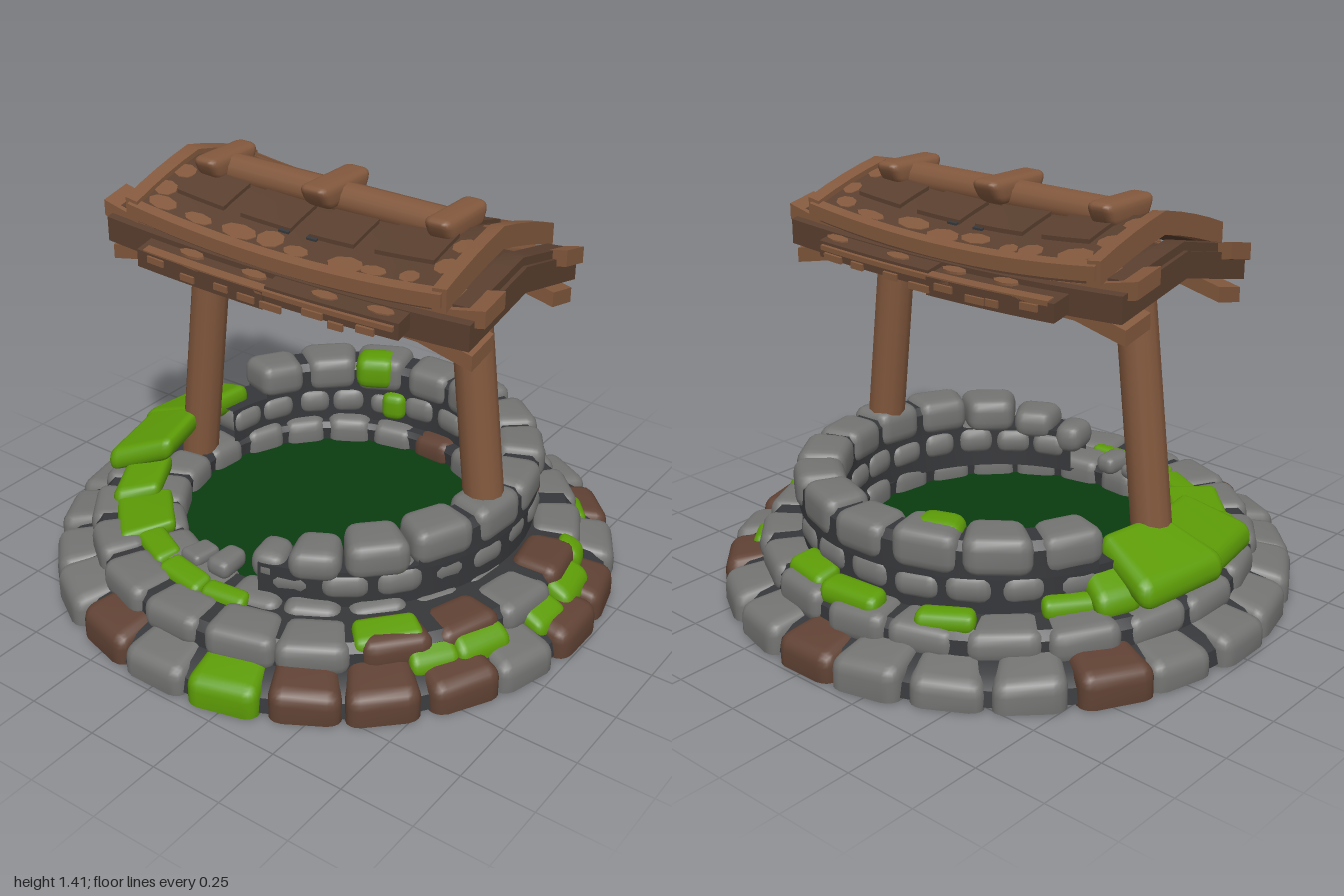
import * as THREE from 'three';
import { mergeVertices, toCreasedNormals } from 'three/addons/utils/BufferGeometryUtils.js';
import { RoundedBoxGeometry } from 'three/addons/geometries/RoundedBoxGeometry.js';

export function createModel() {
  const model = new THREE.Group();
  model.name = 'well';
  const paint = (name, color, side = THREE.FrontSide) => {
    const m = new THREE.MeshStandardMaterial({ color, side });
    m.name = name;
    return m;
  };
  const stone = paint('grey stone', 0x747473);
  const brown = paint('brown stone', 0x604234);
  const mortar = paint('dark mortar', 0x36373a, THREE.DoubleSide);
  const moss = paint('moss', 0x5d9c07);
  const water = paint('murky water', 0x0a3c10, THREE.DoubleSide);
  const wood = paint('light wood', 0x82583d);
  const darkWood = paint('dark wood', 0x593f2f);

  let seed = 7;
  const rnd = () => (seed = (seed * 16807) % 2147483647) / 2147483647;
  const jit = (s) => (rnd() - 0.5) * 2 * s;
  const rad = THREE.MathUtils.degToRad;

  function add(name, geo, mat, parent = model) {
    const mesh = new THREE.Mesh(geo, mat);
    mesh.name = name;
    parent.add(mesh);
    return mesh;
  }
  // Move every vertex by a rule
  function warp(geo, rule) {
    const p = geo.attributes.position, v = new THREE.Vector3();
    for (let i = 0; i < p.count; i++) {
      rule(v.fromBufferAttribute(p, i));
      p.setXYZ(i, v.x, v.y, v.z);
    }
    geo.computeVertexNormals();
    return geo;
  }
  function roundBox(w, h, d, r) {
    const g = new RoundedBoxGeometry(w, h, d, 2, r);
    g.deleteAttribute('normal');
    g.deleteAttribute('uv');
    g.clearGroups();
    return mergeVertices(g, 1e-4);
  }
  // Rounded block bent around the well; angle 0 is the front, 90 is +x
  function block(name, mat, parent, a, span, r0, r1, y0, y1, oz = 0, tilt = 0) {
    const rm = (r0 + r1) / 2, h = y1 - y0, d = r1 - r0, w = rad(span) * rm;
    const twist = jit(0.1), lean = jit(0.06);
    const g = roundBox(w, h, d, Math.min(0.045, h * 0.42, w * 0.4, d * 0.4));
    warp(g, (v) => {
      const t = rad(a) + v.x / rm + twist * v.z, r = rm + v.z;
      const y = Math.max(0.01, (y0 + y1) / 2 + v.y + lean * v.x - tilt * v.z);
      v.set(Math.sin(t) * r, y, Math.cos(t) * r + oz);
    });
    add(name, g, mat, parent);
  }
  function course(name, n, start, end, r0, r1, y0, y1, oz = 0, browns = [], mossy = []) {
    const group = new THREE.Group();
    group.name = name;
    model.add(group);
    const step = (end - start) / n;
    for (let i = 0; i < n; i++) {
      const mat = browns.includes(i) ? brown : mossy.includes(i) ? moss : stone;
      block(name + 'Stone', mat, group, start + step * (i + 0.5) + jit(step * 0.04), step * (0.95 + jit(0.04)),
        r0, r1 + jit(0.008), y0, y1 + jit(0.01), oz, name === 'baseCourse' ? 0.15 : 0);
    }
  }

  // Stone courses; the upper two are broken open at the front left
  course('baseCourse', 24, -7.5, 352.5, 0.79, 0.992, -0.05, 0.125, 0, [2, 3, 4, 6, 7, 9, 12, 16, 23], [1]);
  course('stepCourse', 21, 6, 366, 0.69, 0.865, 0.09, 0.21, 0, [2, 3, 5]);
  course('innerCourse', 20, 3, 363, 0.53, 0.69, 0.09, 0.215, 0, [9]);
  course('lowerRimCourse', 17, 14, 265, 0.53, 0.69, 0.225, 0.325, -0.05, [7]);
  course('topCourse', 10, 54, 250, 0.53, 0.705, 0.325, 0.46, -0.05);
  // Sagging blocks at the broken end
  block('saggingStone', stone, model, 45, 18, 0.53, 0.71, 0.31, 0.44, -0.05);
  block('saggingStone', stone, model, 28, 15, 0.53, 0.7, 0.29, 0.4, -0.05);
  block('saggingStone', stone, model, 14, 11, 0.53, 0.68, 0.25, 0.36, -0.05);
  block('looseStone', stone, model, -3, 9, 0.5, 0.63, 0.2, 0.27);
  block('looseStone', stone, model, -14, 9, 0.53, 0.64, 0.2, 0.25);

  // Mortar cores showing between the stones
  const lathe = (pts, a = 0, span = 360) => toCreasedNormals(new THREE.LatheGeometry(
    pts.map(([x, y]) => new THREE.Vector2(x, y)), 48, rad(a), rad(span)), 0.6);
  add('baseMortar', lathe([[0.56, 0.02], [0.965, 0.02], [0.955, 0.07], [0.91, 0.1], [0.85, 0.115],
    [0.845, 0.17], [0.82, 0.197], [0.56, 0.2], [0.545, 0.18], [0.56, 0.02]]), mortar);
  add('rimMortar', lathe([[0.545, 0.18], [0.68, 0.18], [0.68, 0.33], [0.55, 0.33], [0.545, 0.18]], 12, 253), mortar)
    .position.z = -0.05;
  add('topMortar', lathe([[0.55, 0.32], [0.69, 0.32], [0.685, 0.41], [0.66, 0.435], [0.57, 0.435],
    [0.55, 0.41], [0.55, 0.32]], 56, 192), mortar).position.z = -0.05;
  add('underside', new THREE.RingGeometry(0.55, 0.94, 48).rotateX(Math.PI / 2).translate(0, 0.004, 0), stone);
  add('waterSurface', new THREE.CircleGeometry(0.57, 48).rotateX(-Math.PI / 2).translate(0, 0.13, 0), water);

  // Moss pads: angle, span, inner and outer radius, bottom, top, tilt
  const mossGroup = new THREE.Group();
  mossGroup.name = 'moss';
  model.add(mossGroup);
  [
    [-78, 26, 0.6, 0.85, 0.25, 0.34, 0.35], [-98, 26, 0.6, 0.86, 0.25, 0.35, 0.35],
    [-113, 12, 0.66, 0.8, 0.2, 0.29, 0.4], [-62, 20, 0.62, 0.79, 0.18, 0.26, 0.2],
    [-45, 24, 0.58, 0.78, 0.17, 0.23, 0.1], [-27, 16, 0.62, 0.72, 0.17, 0.23, 0.1],
    [-10, 16, 0.64, 0.73, 0.17, 0.23, 0.15], [5, 14, 0.65, 0.72, 0.17, 0.23, 0.15],
    [-123, 16, 0.69, 0.76, 0.18, 0.25, 0.2], [183, 17, 0.74, 0.84, 0.17, 0.25, 0.1],
    [167, 14, 0.72, 0.83, 0.18, 0.25, 0.2], [207, 14, 0.75, 0.83, 0.17, 0.24, 0.1],
    [48, 16, 0.73, 0.84, 0.16, 0.22, 0.2], [57, 11, 0.79, 0.9, 0.1, 0.17, 0.5],
    [68, 13, 0.83, 0.91, 0.08, 0.17, 0.5], [98, 13, 0.82, 0.93, 0.08, 0.17, 0.4],
    [86, 10, 0.83, 0.93, 0.08, 0.15, 0.4], [107, 7, 0.8, 0.89, 0.12, 0.21, 0.4],
    [130, 9, 0.8, 0.9, 0.09, 0.15, 0.3],
  ].forEach(([a, s, r0, r1, y0, y1, t]) => block('mossPad', moss, mossGroup, a, s, r0, r1, y0, y1, 0, t));
  block('mossOnRim', moss, mossGroup, 203, 16, 0.515, 0.65, 0.34, 0.472, -0.05);
  block('mossOnInnerWall', moss, mossGroup, 195, 10, 0.515, 0.6, 0.22, 0.33, -0.05);

  // Leaning posts and the bowed cross beam
  for (const [s, foot] of [[-1, 0.18], [1, 0.38]]) {
    const from = new THREE.Vector3(s * (0.654 - 0.12 * foot), foot, 0), to = new THREE.Vector3(s * 0.51, 1.2, 0);
    const post = add('post', new THREE.CylinderGeometry(0.066, 0.068, from.distanceTo(to), 12), wood);
    post.position.copy(from).lerp(to, 0.5);
    post.quaternion.setFromUnitVectors(new THREE.Vector3(0, 1, 0), to.clone().sub(from).normalize());
  }
  const beamPath = new THREE.CatmullRomCurve3([[-0.54, 1.045], [-0.33, 1.05], [-0.28, 1.045], [-0.03, 0.992],
    [0.03, 0.992], [0.28, 1.045], [0.33, 1.05], [0.54, 1.045]].map(([x, y]) => new THREE.Vector3(x, y, 0)));
  add('crossBeam', new THREE.TubeGeometry(beamPath, 32, 0.045, 10), wood);

  // Roof: boards bent over two sagging slope surfaces
  const roof = new THREE.Group();
  roof.name = 'roof';
  model.add(roof);
  const upper = (x, z) => 1.305 - 0.2 * Math.abs(z) - 0.3 * z * z + 0.11 * x * x;
  const lower = (x, z) => 1.215 - 0.22 * Math.abs(z) + 0.05 * x * x;
  function board(name, mat, w, h, d, cx, cz, surface, lift = 0, flare = 0) {
    const g = new THREE.BoxGeometry(w, h, d, Math.ceil(w / 0.1), 1, Math.max(2, 2 * Math.ceil(d / 0.16)));
    warp(g, (v) => {
      v.x += cx;
      v.z += cz;
      v.y += surface(v.x, v.z) + lift + flare * Math.max(0, Math.abs(v.x) - 0.5);
    });
    add(name, toCreasedNormals(g, 0.6), mat, roof);
  }
  // Thin irregular worn spot lying on a roof surface
  function patch(x, z, w, d, surface, lift) {
    const g = new THREE.CylinderGeometry(1, 1, 0.008, 8).scale(w, 1, d);
    warp(g, (v) => v.set(v.x + x, v.y + surface(v.x + x, v.z + z) + lift, v.z + z));
    add('wornPatch', toCreasedNormals(g, 0.6), wood, roof);
  }
  board('lowerRoof', darkWood, 1.42, 0.085, 0.64, 0, 0, lower);
  board('ceiling', mortar, 0.96, 0.008, 0.46, 0, 0, lower, -0.048);
  board('upperRoof', darkWood, 1.22, 0.055, 0.62, 0, 0, upper);
  for (const s of [-1, 1]) {
    // Eave planks, purlins and light trim along each long side
    board('eavePlank', darkWood, 0.52, 0.06, 0.1, -0.255, s * 0.34, lower, -0.005);
    board('eavePlank', darkWood, 0.5, 0.055, 0.09, 0.255, s * 0.335, lower, 0.012);
    board('eaveEdge', wood, 0.98, 0.016, 0.03, 0, s * 0.375, lower, 0.022);
    board('raisedPurlin', wood, 1.49, 0.055, 0.11, 0, s * 0.24, lower, 0.015, 0.15);
    board('droopingPurlin', wood, 1.42, 0.05, 0.12, 0, s * 0.24, lower, -0.035, -0.28);
    board('upperEaveTrim', wood, 1.22, 0.045, 0.03, 0, s * 0.31, upper, 0.012);
    board('gableTrim', wood, 0.05, 0.075, 0.63, s * 0.6, 0, upper, 0.008);
    board('gableRafter', darkWood, 0.07, 0.07, 0.56, s * 0.66, 0, lower, 0.035);
    // Shingles beside the ridge
    for (const x of [-0.4, -0.13, 0.13, 0.4])
      board('shingle', darkWood, 0.19 + jit(0.03), 0.016, 0.14, x, s * 0.13, upper, 0.033);
    for (const x of [-0.05, 0.06])
      board('shingleGap', mortar, 0.04, 0.008, 0.08, x, s * 0.17, upper, 0.03);
    // Worn light patches along the eaves and gables
    for (let i = 0; i < 8; i++) {
      const x = -0.49 + i * 0.14 + jit(0.03);
      patch(x, s * (0.265 + jit(0.015)), 0.05 + jit(0.02), 0.03 + jit(0.01), upper, 0.026);
      board('wornEavePatch', wood, 0.07 + jit(0.02), 0.022, 0.008, x * 0.85, s * 0.392, lower, -0.005 + jit(0.012));
      if (i % 2) patch(x * 0.9, s * 0.345, 0.05, 0.018, lower, 0.04);
    }
    for (const z of [-0.18, -0.06, 0.1, 0.2]) patch(s * 0.55, z, 0.035 + jit(0.01), 0.035, upper, 0.026);
  }

  // Ridge log held by three saddle caps that widen upwards
  add('ridgeLog', new THREE.CylinderGeometry(0.055, 0.055, 0.96, 12).rotateZ(Math.PI / 2).translate(0, 1.35, 0), wood, roof);
  for (const [x, w, d, y] of [[-0.455, 0.1, 0.22, 1.37], [0, 0.11, 0.24, 1.375], [0.455, 0.1, 0.22, 1.37]]) {
    const g = roundBox(w, 0.085, d, 0.03);
    warp(g, (v) => v.set(v.x + x, v.y + y, v.z * (1 + v.y * 5)));
    add('ridgeCap', g, wood, roof);
  }
  return model;
}
